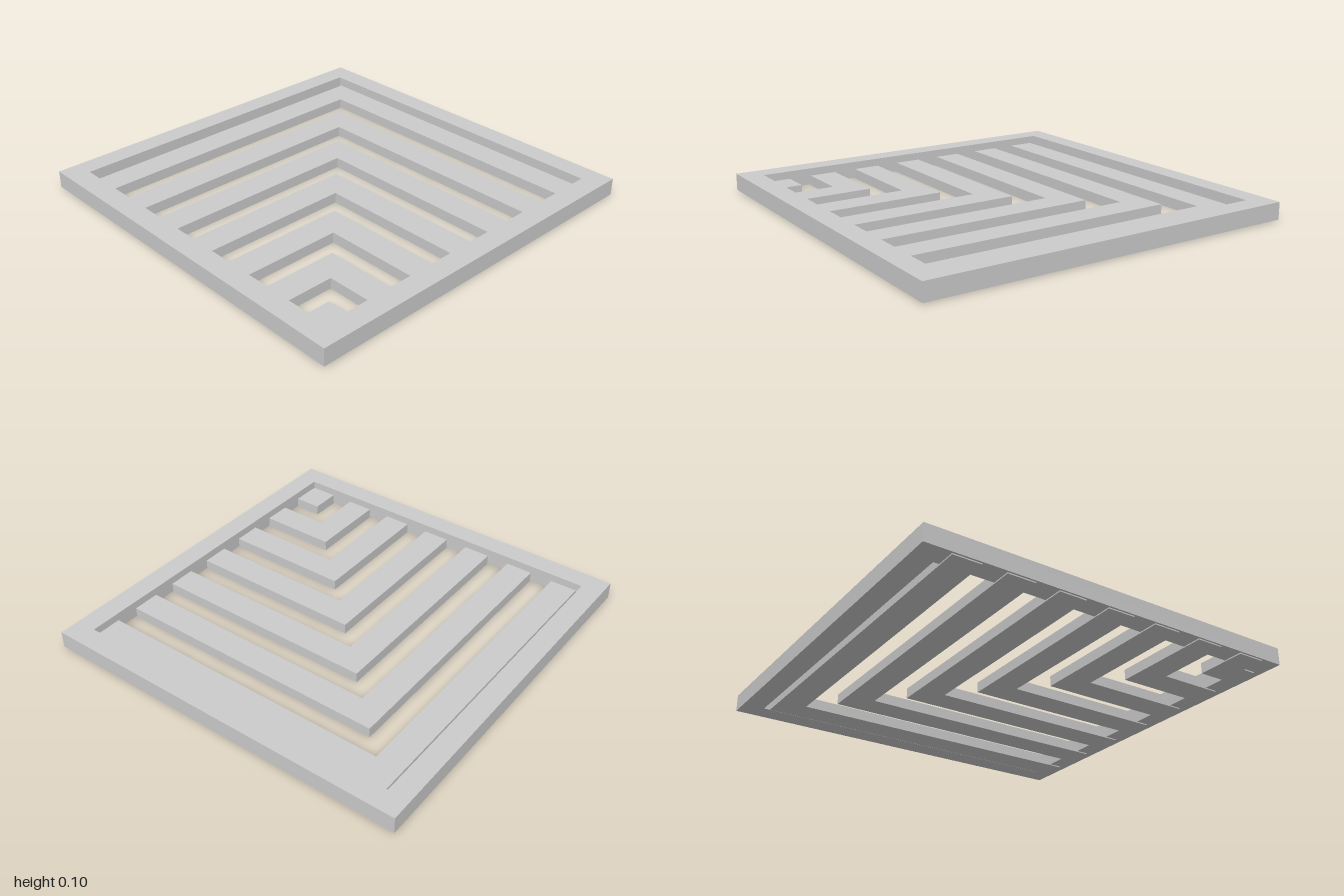
import * as THREE from 'three';

const material = new THREE.MeshStandardMaterial({ color: 0xcccccc, flatShading: true });

// Closed outline from x, z corners (shape y becomes -z once laid flat)
const outline = (points, Type = THREE.Shape) =>
  new Type(points.map(([x, z]) => new THREE.Vector2(x, -z)));

// Flat plate lying on the ground plane between two heights
function plate(name, shape, bottom, top) {
  const geometry = new THREE.ExtrudeGeometry(shape, { depth: top - bottom, bevelEnabled: false });
  geometry.rotateX(-Math.PI / 2);
  geometry.translate(0, bottom, 0);
  const mesh = new THREE.Mesh(geometry, material);
  mesh.name = name;
  return mesh;
}

const square = (r) => [[-r, -r], [r, -r], [r, r], [-r, r]];

export function createModel() {
  const group = new THREE.Group();
  group.name = 'slattedPanel';

  // Square border; the hole winds the other way so its walls face inward
  const border = outline(square(1));
  border.holes.push(outline(square(0.888).reverse(), THREE.Path));
  group.add(plate('frame', border, 0.006, 0.096));

  // Nested L-shaped slats, their ends running into the right and front rails
  const slats = new THREE.Group();
  slats.name = 'slats';
  const width = 0.144, pitch = 0.267, endX = 0.955, endZ = 0.99;
  for (let i = 0; i < 7; i++) {
    const x = -0.86 + i * pitch, z = -0.873 + i * pitch;
    const shape = outline([
      [x, z], [endX, z], [endX, z + width],
      [x + width, z + width], [x + width, endZ], [x, endZ],
    ]);
    slats.add(plate(`slat${i + 1}`, shape, 0, 0.055));
  }
  group.add(slats);
  return group;
}
